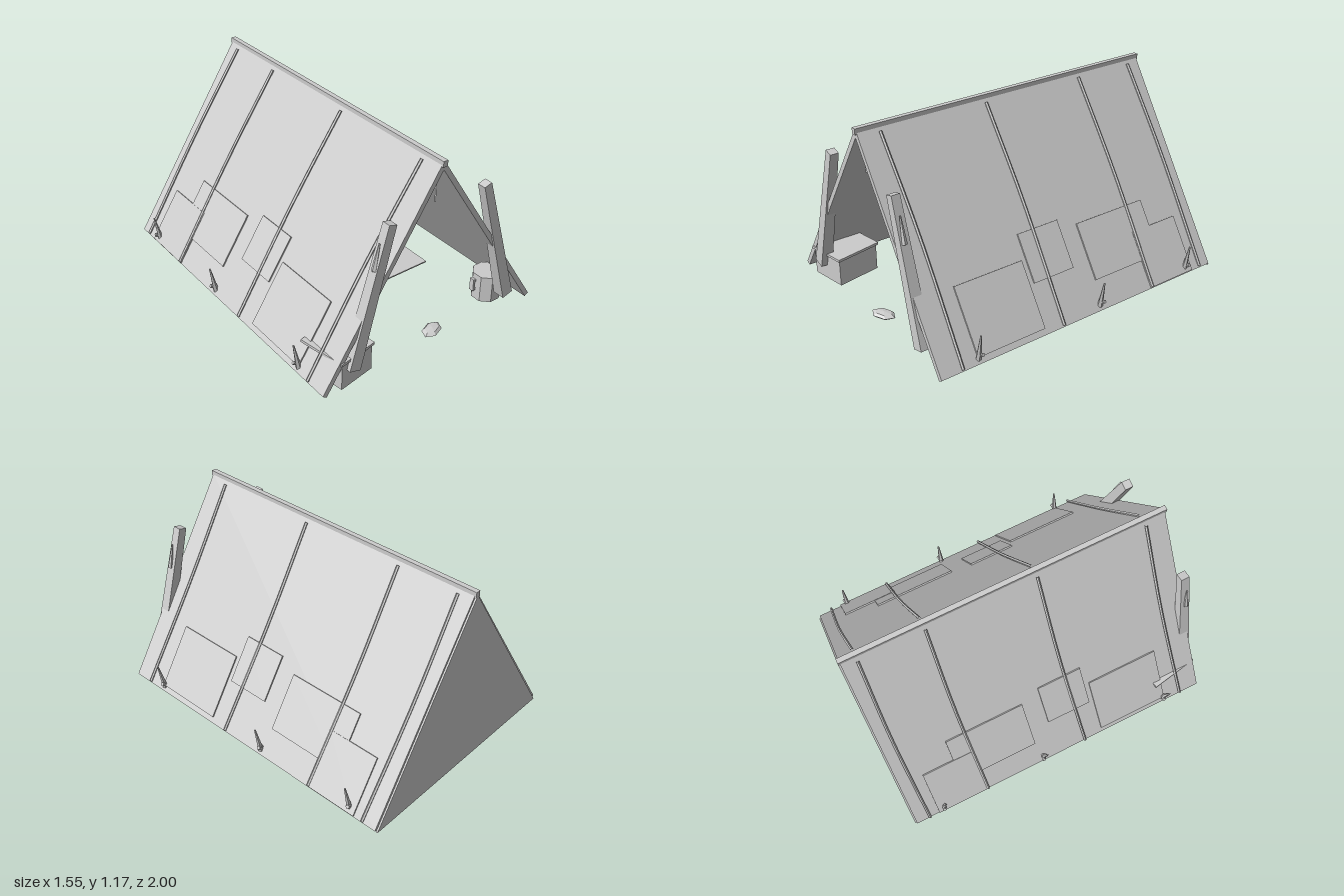
import * as THREE from 'three';

const canvasGrey = new THREE.MeshStandardMaterial({ color: 0xcccccc });
canvasGrey.name = 'canvas grey';

const TOP = 1.17, DROP = 1.15, HALF = 0.755;
const SLOPE = Math.hypot(DROP, HALF);
const V = (x, y, z) => new THREE.Vector3(x, y, z);
const down = y => (TOP - y) / DROP * SLOPE; // height to distance along the slope

function add(parent, name, geometry, x = 0, y = 0, z = 0) {
  const mesh = new THREE.Mesh(geometry.index ? geometry.toNonIndexed() : geometry, canvasGrey);
  mesh.geometry.computeVertexNormals();
  mesh.name = name;
  mesh.position.set(x, y, z);
  parent.add(mesh);
  return mesh;
}

// Tapered bar between two points
function bar(parent, name, a, b, r0, r1, sides = 5) {
  const mesh = add(parent, name, new THREE.CylinderGeometry(r1, r0, a.distanceTo(b), sides));
  mesh.position.copy(a).add(b).multiplyScalar(0.5);
  mesh.quaternion.setFromUnitVectors(V(0, 1, 0), b.clone().sub(a).normalize());
  return mesh;
}

function makeSide() {
  const side = new THREE.Group();

  // Sloped frame: x runs down the slope, y points outward
  const roof = new THREE.Group();
  roof.name = 'roofSlope';
  roof.position.y = TOP;
  roof.rotation.z = -Math.atan2(DROP, HALF);
  side.add(roof);
  add(roof, 'roofPanel', new THREE.BoxGeometry(SLOPE - 0.02, 0.03, 1.97), SLOPE / 2 + 0.01, -0.015, -0.005);

  // Cloth patches: front z, back z, bottom y, top y
  const patches = [[0.74, 0.29, 0.05, 0.38], [0.26, -0.02, 0.26, 0.5],
    [-0.14, -0.64, 0.165, 0.45], [-0.5, -0.84, 0.025, 0.315]];
  patches.forEach(([z1, z0, y0, y1], i) => {
    const a = down(y1), b = down(y0);
    add(roof, 'patch', new THREE.BoxGeometry(b - a, 0.009, z1 - z0),
      (a + b) / 2, 0.0045 + (i === 3 ? 0.002 : 0), (z0 + z1) / 2);
  });

  // Ropes lying over the cloth
  for (const z of [0.85, 0.17, -0.505, -0.9]) {
    const path = new THREE.CatmullRomCurve3([V(0.05, 0.008, z),
      V(0.65, 0.012, z - 0.014), V(SLOPE - 0.01, 0.012, z - 0.003)]);
    add(roof, 'rope', new THREE.TubeGeometry(path, 8, 0.009, 5));
  }

  // Ground stakes with bent hooks
  for (const z of [0.735, -0.115, -0.795]) {
    bar(side, 'stake', V(0.735, 0.04, z), V(0.77, 0.21, z + 0.005), 0.017, 0.005);
    bar(side, 'stakeHook', V(0.67, 0.03, z + 0.01), V(0.765, 0.08, z - 0.01), 0.008, 0.012);
  }

  // Leaning entrance post and its peg
  const post = bar(side, 'entrancePost', V(0.557, 0.103, 0.96), V(0.325, 0.915, 0.96), 0.052, 0.037, 4);
  post.geometry.rotateY(Math.PI / 4);
  bar(side, 'postPeg', V(0.425, 0.67, 0.965), V(0.393, 0.82, 0.965), 0.016, 0.005);
  return side;
}

export function createModel() {
  const tent = new THREE.Group();
  tent.name = 'tent';

  const left = makeSide(), right = makeSide();
  left.name = 'leftSide';
  right.name = 'rightSide';
  right.scale.x = -1;
  tent.add(left, right);

  // Back wall, ridge and ground sheet
  const wall = new THREE.Shape([new THREE.Vector2(-0.745, 0.005), new THREE.Vector2(0.745, 0.005), new THREE.Vector2(0, 1.15)]);
  add(tent, 'backWall', new THREE.ExtrudeGeometry(wall, { depth: 0.012, bevelEnabled: false }), 0, 0, -1);
  add(tent, 'ridgePole', new THREE.BoxGeometry(0.03, 0.035, 1.99), 0, 1.155, -0.005);
  add(tent, 'groundSheet', new THREE.BoxGeometry(0.98, 0.008, 1.31), 0, 0.008, -0.285);

  // Hanging lamp hook
  add(tent, 'hangingHook', new THREE.BoxGeometry(0.02, 0.09, 0.02), 0, 1.085, 0.93);
  bar(tent, 'hangingCord', V(0, 0.905, 0.93), V(0, 1.05, 0.93), 0.005, 0.007, 4);

  // Crate with overhanging lid
  const crate = new THREE.Group();
  crate.name = 'crate';
  crate.position.set(-0.54, 0, 0.82);
  crate.rotation.y = 0.175;
  add(crate, 'crateBody', new THREE.BoxGeometry(0.235, 0.165, 0.28), 0, 0.0835, 0);
  add(crate, 'crateLid', new THREE.BoxGeometry(0.255, 0.016, 0.3), 0, 0.174, 0);
  tent.add(crate);

  // Bucket with side handle
  const bucket = add(tent, 'bucket', new THREE.CylinderGeometry(0.088, 0.088, 0.17, 8), 0.56, 0.087, 0.82);
  bucket.rotation.y = Math.PI / 8;
  add(tent, 'bucketHandle', new THREE.BoxGeometry(0.012, 0.08, 0.03), 0.465, 0.1, 0.8);
  for (const y of [0.07, 0.13]) add(tent, 'handleMount', new THREE.BoxGeometry(0.025, 0.014, 0.03), 0.475, y, 0.8);

  // Folded blankets, chamfered and stacked
  const w = 0.18, h = 0.02, c = 0.015;
  const fold = new THREE.Shape([[-w, -h], [-w + c, -h - 0.005], [w - c, -h - 0.005], [w, -h],
    [w, h], [w - c, h + 0.005], [-w + c, h + 0.005], [-w, h]].map(p => new THREE.Vector2(...p)));
  for (const y of [0.05, 0.115]) {
    add(tent, 'foldedBlanket', new THREE.ExtrudeGeometry(fold, { depth: 0.2, bevelSize: 0.015,
      bevelThickness: 0.02, bevelSegments: 1 }), 0.08, y, -0.94);
  }

  // Rolled bedding
  const roll = add(tent, 'bedRoll', new THREE.CylinderGeometry(0.082, 0.082, 0.33, 8), -0.31, 0.09, -0.86);
  roll.geometry.rotateY(Math.PI / 8);
  roll.rotation.z = Math.PI / 2;

  // Flat stone by the entrance
  const stone = add(tent, 'flatStone', new THREE.SphereGeometry(1, 6, 4), 0.055, 0.03, 0.91);
  stone.scale.set(0.08, 0.02, 0.05);
  stone.rotation.y = 0.4;

  return tent;
}
